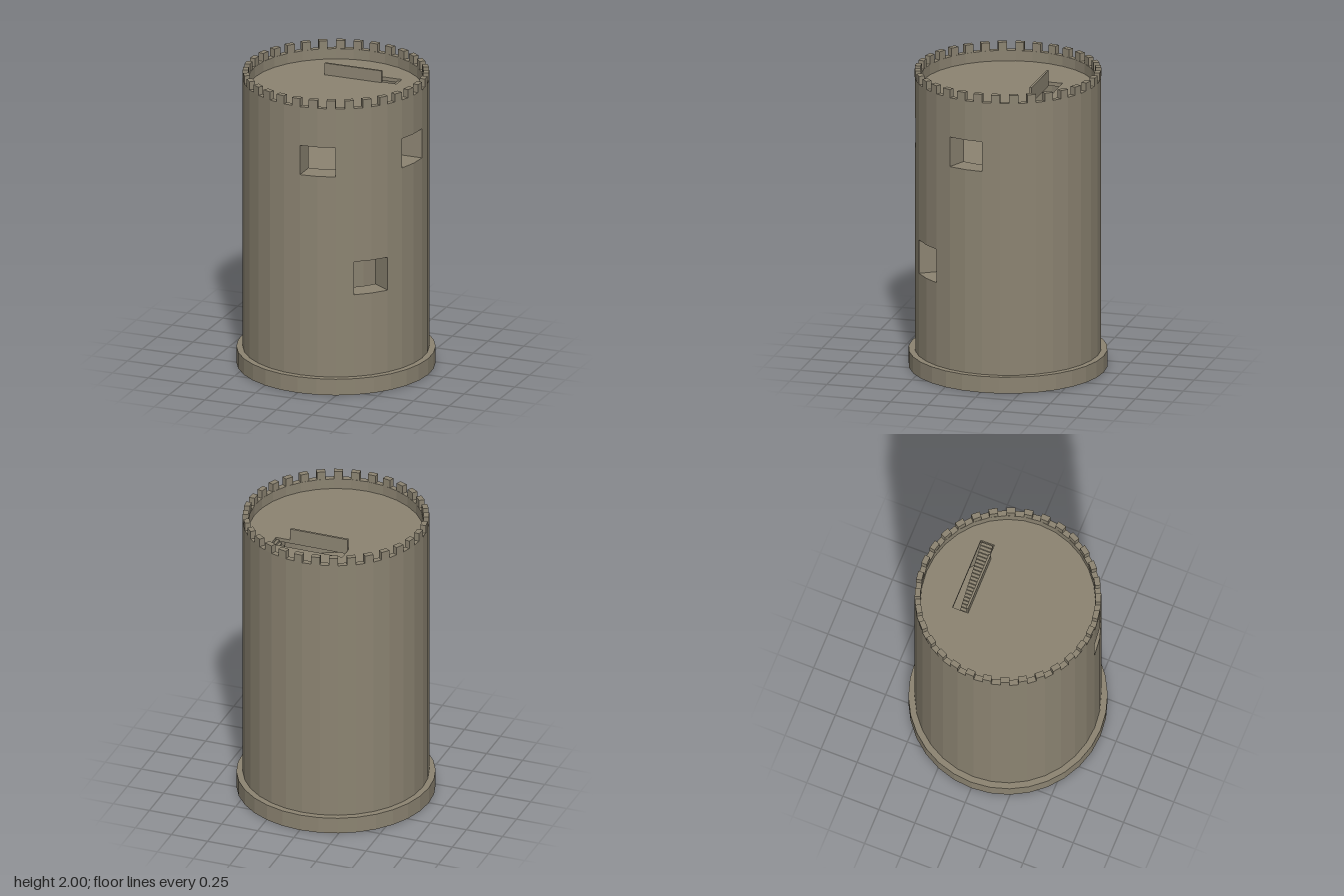
import * as THREE from 'three';

const SIDES = 32;
const STEP = (Math.PI * 2) / SIDES;

export function createModel() {
  const tower = new THREE.Group();
  tower.name = 'tower';
  const stone = new THREE.MeshStandardMaterial({ color: 0x8c8472 });
  stone.name = 'stone';

  const add = (parent, geometry, name) => {
    const mesh = new THREE.Mesh(geometry, stone);
    mesh.name = name;
    parent.add(mesh);
    return mesh;
  };
  const group = (name) => {
    const g = new THREE.Group();
    g.name = name;
    tower.add(g);
    return g;
  };
  // Upright prism from a plan shape drawn in (x, -z)
  const prism = (parent, shape, y0, y1, name) => {
    const g = new THREE.ExtrudeGeometry(shape, { depth: y1 - y0, bevelEnabled: false });
    g.rotateX(-Math.PI / 2).translate(0, y0, 0);
    return add(parent, g, name);
  };
  const point = (r, s) => new THREE.Vector2(r * Math.sin(s * STEP), -r * Math.cos(s * STEP));
  // Ring sector between sides s0 and s1, angles run from +z towards +x
  const arc = (parent, r0, r1, s0, s1, y0, y1, name) => {
    const n = Math.max(1, Math.round(s1 - s0));
    const pts = [];
    for (let i = 0; i <= n; i++) pts.push(point(r1, s0 + ((s1 - s0) * i) / n));
    for (let i = n; i >= 0; i--) pts.push(point(r0, s0 + ((s1 - s0) * i) / n));
    prism(parent, new THREE.Shape(pts), y0, y1, name);
  };
  const ring = (parent, r0, r1, y0, y1, name) => {
    arc(parent, r0, r1, 0, SIDES / 2, y0, y1, name);
    arc(parent, r0, r1, SIDES / 2, SIDES, y0, y1, name);
  };
  const box = (parent, x0, x1, y0, y1, z0, z1, name) => {
    const m = add(parent, new THREE.BoxGeometry(x1 - x0, y1 - y0, z1 - z0), name);
    m.position.set((x0 + x1) / 2, (y0 + y1) / 2, (z0 + z1) / 2);
  };
  const disc = (r) => new THREE.Shape(Array.from({ length: SIDES }, (_, i) => point(r, i)));

  // Base ring
  ring(group('base'), 0.587, 0.643, 0, 0.11, 'baseRing');

  // Double wall, with window openings left out of two height bands
  const wall = group('wall');
  const bands = [
    [0.01, 0.67, []],
    [0.67, 0.895, [[3, 5]]],
    [0.895, 1.48, []],
    [1.48, 1.68, [[0, 2], [6, 8]]],
    [1.68, 1.86, []],
  ];
  for (const [r0, r1, name] of [[0.587, 0.602, 'outerWall'], [0.457, 0.477, 'innerWall']]) {
    for (const [y0, y1, openings] of bands) {
      if (!openings.length) {
        ring(wall, r0, r1, y0, y1, name);
        continue;
      }
      let s = 0;
      for (const [a, b] of [...openings, [SIDES, SIDES]]) {
        if (a > s) arc(wall, r0, r1, s, a, y0, y1, name);
        s = b;
      }
    }
  }

  // Window reveals joining the two walls
  const windows = group('windows');
  for (const [y0, y1, openings] of bands) {
    for (const [a, b] of openings) {
      arc(windows, 0.46, 0.6, a - 0.05, a, y0, y1, 'windowJamb');
      arc(windows, 0.46, 0.6, b, b + 0.05, y0, y1, 'windowJamb');
      arc(windows, 0.46, 0.6, a, b, y0 - 0.01, y0, 'windowSill');
      arc(windows, 0.46, 0.6, a, b, y1, y1 + 0.01, 'windowLintel');
    }
  }

  // Parapet with battlements
  const parapet = group('parapet');
  ring(parapet, 0.565, 0.602, 1.86, 1.945, 'parapetRing');
  for (let i = 0; i < SIDES; i++) arc(parapet, 0.565, 0.602, i + 0.5, i + 1, 1.945, 2, 'merlon');

  // Roof deck with a stair hatch
  const roof = disc(0.567);
  roof.holes.push(new THREE.Path([
    new THREE.Vector2(-0.168, 0.225), new THREE.Vector2(-0.168, 0.318),
    new THREE.Vector2(0.328, 0.318), new THREE.Vector2(0.328, 0.225),
  ]));
  const deck = group('roof');
  prism(deck, roof, 1.85, 1.875, 'roofDeck');
  box(deck, -0.168, 0.23, 1.85, 1.955, -0.225, -0.21, 'hatchWall');

  // Straight stair under the hatch, down to the upper floor
  const stair = group('hatchStair');
  for (let i = 0; i < 24; i++) {
    const x = -0.135 + i * 0.019;
    const top = 1.865 - (23 - i) * 0.016;
    box(stair, x, x + 0.019, top - 0.04, top, -0.31, -0.232, 'stairStep');
  }
  prism(group('upperFloor'), disc(0.46), 1.44, 1.465, 'upperFloorDeck');

  // Plank ground floor
  const floor = group('groundFloor');
  const planks = 36;
  const w = 0.954 / planks;
  for (let i = 0; i < planks; i++) {
    const x = -0.477 + (i + 0.5) * w;
    const half = Math.sqrt(0.477 ** 2 - x * x);
    box(floor, x - w / 2, x + w / 2, 0, 0.02, -half, half, 'plank');
  }

  // Spiral stair climbing between the walls
  const spiral = group('spiralStair');
  for (let i = 0; i < 24; i++) {
    arc(spiral, 0.477, 0.587, i + 5, i + 6, 0.01 + i * 0.025, 0.06 + i * 0.025, 'spiralStep');
  }
  return tower;
}
